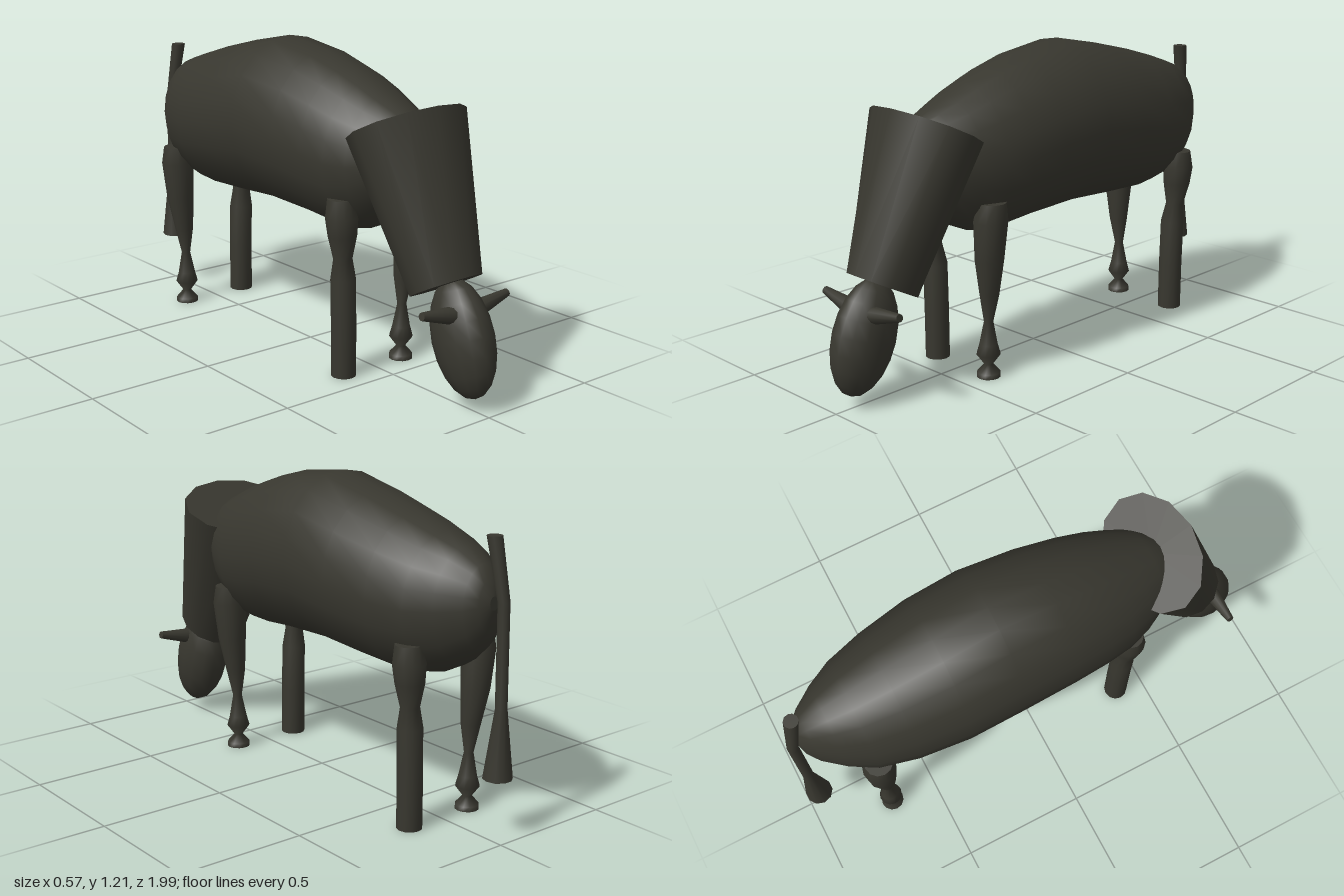
import * as THREE from 'three';

// Skin elliptical sections [x, y, z, radiusX, radiusV]; V is the second ring axis.
// Sections run in the direction of X cross V; flat caps close both ends.
function loft(sections, v, sides) {
  const pos = [], index = [];
  const ring = ([x, y, z, ru, rv]) => {
    for (let j = 0; j < sides; j++) {
      const a = (j / sides) * Math.PI * 2;
      const s = Math.sin(a) * rv;
      pos.push(x + Math.cos(a) * ru, y + v[1] * s, z + v[2] * s);
    }
  };
  sections.forEach(ring);
  for (let i = 0; i < sections.length - 1; i++) {
    for (let j = 0; j < sides; j++) {
      const a = i * sides + j, b = i * sides + (j + 1) % sides;
      index.push(a, b, b + sides, a, b + sides, a + sides);
    }
  }
  // Caps have their own vertices so that the rims stay sharp
  [sections[0], sections[sections.length - 1]].forEach((s, end) => {
    const start = pos.length / 3;
    ring(s);
    pos.push(s[0], s[1], s[2]);
    for (let j = 0; j < sides; j++) {
      const a = start + j, b = start + (j + 1) % sides, c = start + sides;
      if (end) index.push(a, b, c);
      else index.push(b, a, c);
    }
  });
  const geo = new THREE.BufferGeometry();
  geo.setAttribute('position', new THREE.Float32BufferAttribute(pos, 3));
  geo.setIndex(index);
  geo.computeVertexNormals();
  return geo;
}

export function createModel() {
  const model = new THREE.Group();
  model.name = 'grazingAnimal';
  const hide = new THREE.MeshStandardMaterial({ color: 0x38372f, side: THREE.DoubleSide });
  hide.name = 'darkHide';
  const add = (name, geo) => {
    const mesh = new THREE.Mesh(geo, hide);
    mesh.name = name;
    model.add(mesh);
    return mesh;
  };

  // Body: z, bottom, top, half width, from rump to chest
  const body = [
    [-0.93, 0.83, 0.88, 0.02], [-0.915, 0.75, 0.94, 0.06], [-0.88, 0.68, 0.985, 0.1],
    [-0.8, 0.61, 1.035, 0.16], [-0.7, 0.56, 1.07, 0.215], [-0.55, 0.54, 1.115, 0.255],
    [-0.35, 0.55, 1.165, 0.283], [-0.13, 0.562, 1.21, 0.285], [0.1, 0.553, 1.18, 0.272],
    [0.25, 0.54, 1.14, 0.255], [0.36, 0.54, 1.1, 0.235], [0.45, 0.58, 1.06, 0.205],
    [0.53, 0.65, 1.025, 0.165], [0.6, 0.75, 0.985, 0.11], [0.64, 0.84, 0.93, 0.04],
  ].map(([z, lo, hi, w]) => [0, (lo + hi) / 2, z, w, (hi - lo) / 2]);
  add('body', loft(body, [0, 1, 0], 20));

  // Neck: wide collar sloping down to the head
  add('neck', loft([
    [0, 0.975, 0.55, 0.25, 0.18],
    [0, 0.425, 0.77, 0.135, 0.14],
  ], [0, 0.47, 0.883], 12));

  // Head, hanging low
  const head = add('head', new THREE.SphereGeometry(1, 14, 10));
  head.scale.set(0.097, 0.218, 0.128);
  head.position.set(0, 0.253, 0.862);
  head.rotation.x = -0.32;

  // Horns
  for (const side of [1, -1]) {
    const horn = add(side > 0 ? 'leftHorn' : 'rightHorn',
      new THREE.CylinderGeometry(0.015, 0.033, 0.15, 10));
    horn.position.set(side * 0.133, 0.367, 0.868);
    horn.rotation.z = -side * 1.38;
  }

  // Legs: [y, radius, x, z offset]; one diagonal pair is plain, the other pinched
  const plain = [
    [0.69, 0.05, 0.17, 0.005], [0.62, 0.062, 0.167, 0.008], [0.55, 0.055, 0.163, 0.008],
    [0.46, 0.036, 0.158, 0.005], [0.38, 0.048, 0.152, 0], [0.2, 0.048, 0.148, 0], [0, 0.048, 0.147, 0],
  ];
  const pinched = [
    [0.69, 0.055, 0.17, 0.005], [0.62, 0.066, 0.167, 0.008], [0.47, 0.056, 0.158, 0.008],
    [0.33, 0.038, 0.148, 0], [0.22, 0.018, 0.142, 0], [0.13, 0.035, 0.14, 0],
    [0.09, 0.046, 0.14, 0], [0.05, 0.017, 0.14, 0], [0.018, 0.045, 0.14, 0], [0, 0.046, 0.14, 0],
  ];
  const legs = [
    ['frontLeftLeg', pinched, 1, 0.385], ['frontRightLeg', plain, -1, 0.385],
    ['backLeftLeg', plain, 1, -0.688], ['backRightLeg', pinched, -1, -0.688],
  ];
  for (const [name, profile, side, z] of legs) {
    const lean = z > 0 ? 1 : -1;
    add(name, loft(profile.map(([y, r, x, dz]) => [side * x, y, z + lean * dz, r, r]), [0, 0, 1], 12));
  }

  // Tail with flared tuft
  add('tail', loft([
    [-0.01, 1.085, -0.912, 0.028, 0.028], [-0.025, 0.86, -0.95, 0.022, 0.022],
    [-0.03, 0.48, -0.95, 0.022, 0.022], [-0.03, 0.225, -0.944, 0.054, 0.054],
  ], [0, 0, 1], 10));

  return model;
}
